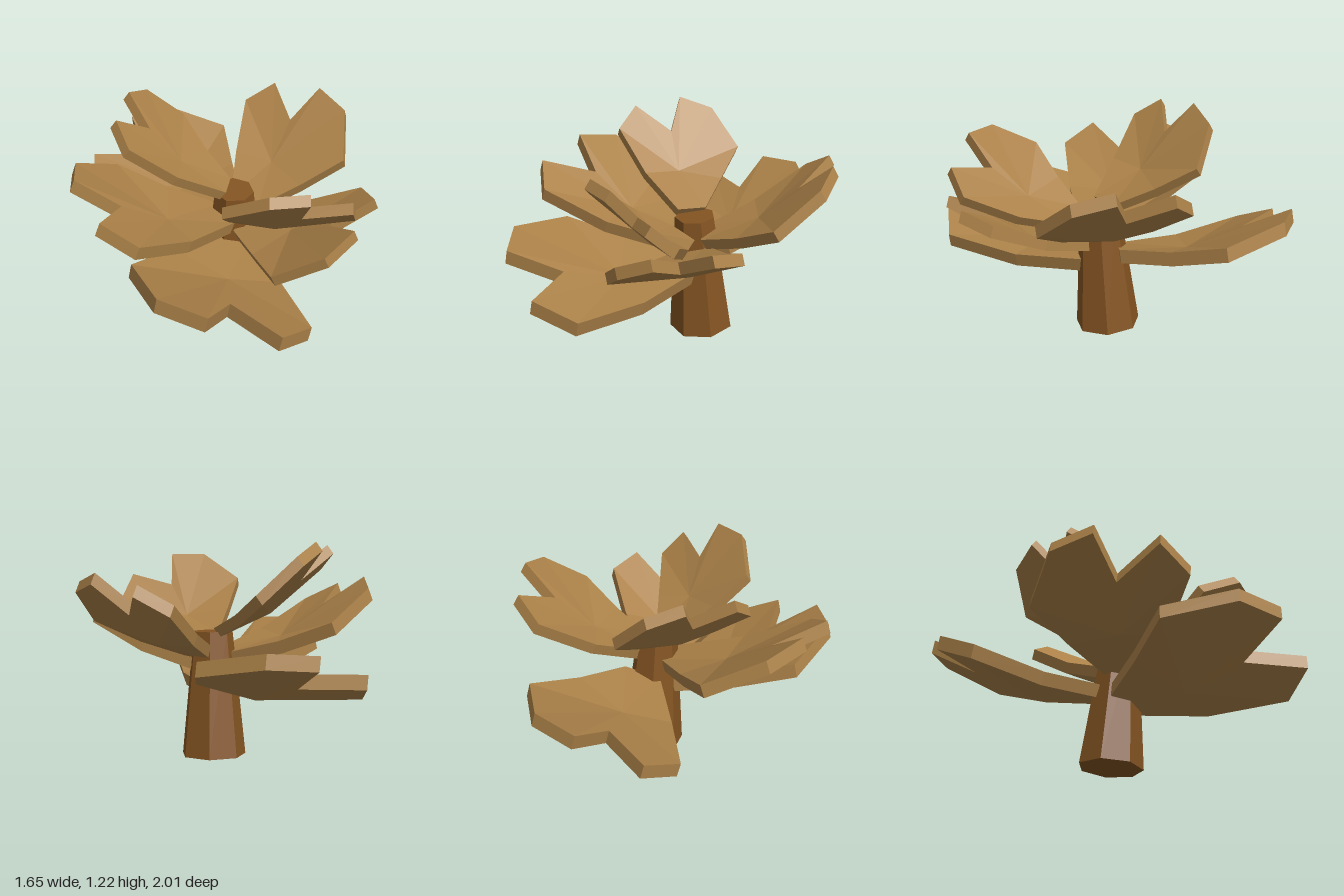
import * as THREE from 'three';

const V = (p) => new THREE.Vector3(...p);

// Leaf outline, counter-clockwise from above: [right, outward, up].
// Wide lobe on the right, notch in the middle, narrow lobe on the left.
const OUTLINE = [
  [0.11, 0, 0], [0.31, 0.27, -0.02], [0.52, 0.55, 0], [0.37, 0.91, 0.06],
  [0.12, 1.02, 0.08], [0, 0.74, 0], [-0.25, 0.99, 0.03], [-0.415, 0.8, -0.01],
  [-0.28, 0.38, -0.04], [-0.11, 0, 0],
];
const CENTRE = [0, 0.4, -0.07];
const THICKNESS = 0.08;

// One thick notched leaf: two fans around the centre, joined by a rim
function leafGeometry() {
  const n = OUTLINE.length;
  const verts = [];
  const index = [];
  for (const drop of [0, THICKNESS]) {
    for (const [x, y, z] of [...OUTLINE, CENTRE]) verts.push(x, y, z - drop);
  }
  const low = n + 1;
  for (let i = 0; i < n; i++) {
    const j = (i + 1) % n;
    index.push(n, i, j);
    index.push(low + n, low + j, low + i);
    index.push(low + i, low + j, j, low + i, j, i);
  }
  const geo = new THREE.BufferGeometry();
  geo.setAttribute('position', new THREE.Float32BufferAttribute(verts, 3));
  geo.setIndex(index);
  const flat = geo.toNonIndexed();
  flat.computeVertexNormals();
  return flat;
}

// Each leaf's size, then where its root, notch, wide shoulder and narrow tip lie
const LEAVES = {
  frontLeaf: [1.02, [0.05, 0.44, -0.02], [0.02, 0.52, 0.73], [-0.51, 0.62, 0.54], [0.45, 0.44, 0.82]],
  upperFrontLeaf: [0.74, [0.125, 0.65, 0.06], [0.37, 0.9, 0.43], [-0.01, 0.96, 0.5], [0.64, 0.84, 0.34]],
  leftLeaf: [0.79, [0.1, 0.53, 0], [0.57, 0.715, 0.33], [0.4, 0.64, 0.58], [0.76, 0.8, 0.08]],
  backLeftLeaf: [0.81, [0.12, 0.62, -0.06], [0.42, 0.92, -0.51], [0.7, 0.84, -0.15], [0.17, 0.96, -0.73]],
  backRightLeaf: [0.95, [0.04, 0.5, -0.16], [-0.48, 0.6, -0.68], [0, 0.7, -0.83], [-0.77, 0.55, -0.47]],
  rightLeaf: [0.91, [0.02, 0.59, 0.01], [-0.54, 0.83, 0.29], [-0.62, 0.81, -0.19], [-0.4, 0.83, 0.63]],
  upperRightLeaf: [0.735, [0.03, 0.74, -0.045], [-0.43, 1.08, -0.145], [-0.24, 0.97, -0.46], [-0.48, 1.09, 0.12]],
};

// Turn and scale a leaf so that it grows from its root through its notch
function placeLeaf(mesh, [size, root, notch, shoulder, tip]) {
  const out = V(notch).sub(V(root)).normalize();
  const side = V(shoulder).sub(V(tip));
  side.addScaledVector(out, -side.dot(out)).normalize();
  const up = side.clone().cross(out);
  mesh.quaternion.setFromRotationMatrix(new THREE.Matrix4().makeBasis(side, out, up));
  mesh.scale.setScalar(size);
  mesh.position.copy(V(root));
}

export function createModel() {
  const group = new THREE.Group();
  const bark = new THREE.MeshStandardMaterial({ color: 0x845422, flatShading: true });
  const leafMat = new THREE.MeshStandardMaterial({ color: 0xab8148, flatShading: true });

  // Tapered seven-sided stem, leaning slightly forward
  const foot = V([0.053, 0.014, -0.098]);
  const head = V([0.063, 0.71, -0.045]);
  const axis = head.clone().sub(foot);
  const stemGeo = new THREE.CylinderGeometry(0.113, 0.184, axis.length(), 7);
  stemGeo.rotateY(THREE.MathUtils.degToRad(27));
  const stem = new THREE.Mesh(stemGeo, bark);
  stem.name = 'stem';
  stem.position.copy(foot).add(head).multiplyScalar(0.5);
  stem.quaternion.setFromUnitVectors(V([0, 1, 0]), axis.normalize());
  group.add(stem);

  // Seven leaves around the stem
  const geo = leafGeometry();
  for (const [name, points] of Object.entries(LEAVES)) {
    const leaf = new THREE.Mesh(geo, leafMat);
    leaf.name = name;
    placeLeaf(leaf, points);
    group.add(leaf);
  }
  return group;
}
